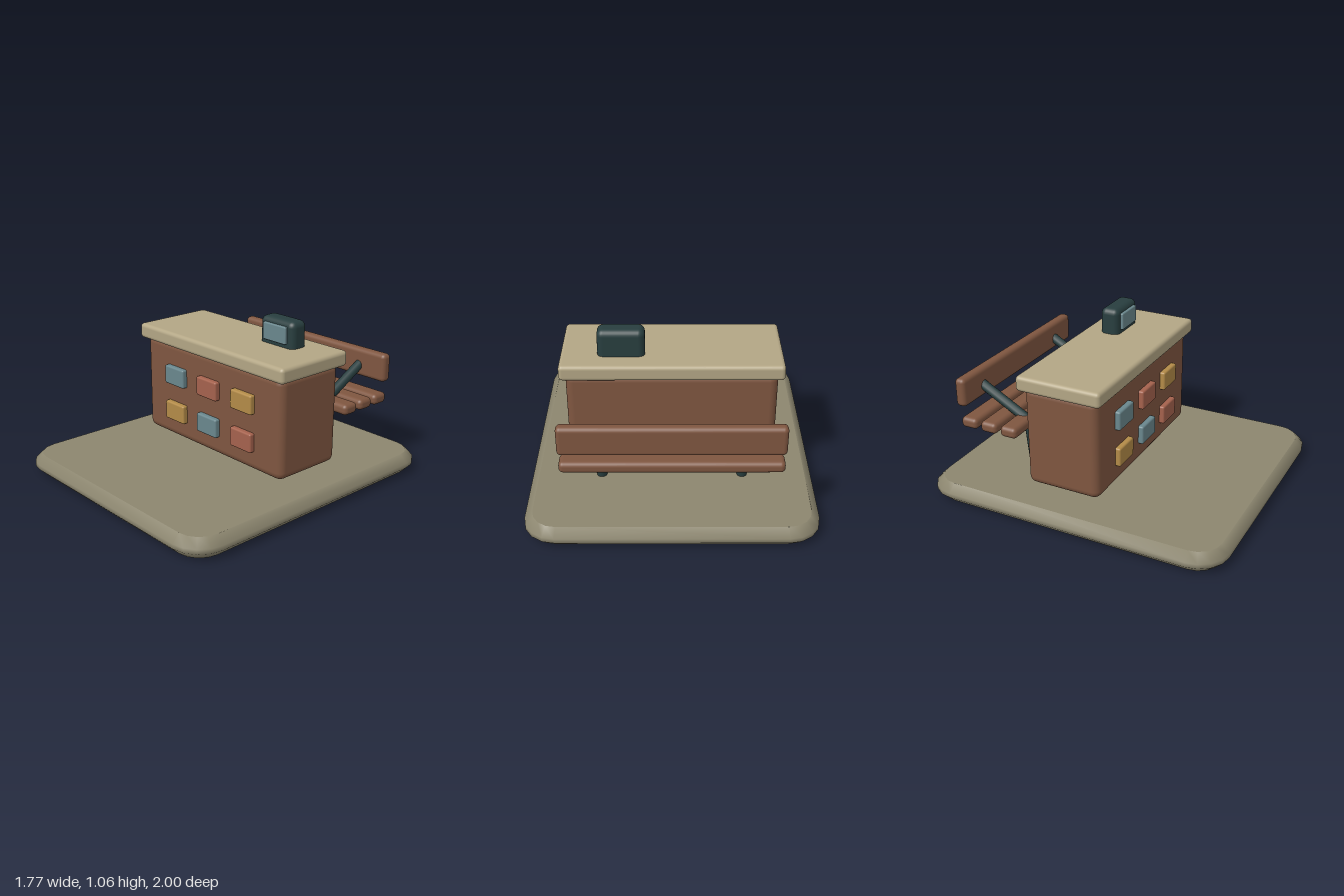
import * as THREE from 'three';
import { toCreasedNormals } from 'three/addons/utils/BufferGeometryUtils.js';
import { RoundedBoxGeometry } from 'three/addons/geometries/RoundedBoxGeometry.js';

const mat = (name, color) => {
  const m = new THREE.MeshStandardMaterial({ color });
  m.name = name;
  return m;
};

export function createModel() {
  const stone = mat('stone', 0x8c866f);
  const cream = mat('cream', 0xb3a685);
  const wood = mat('wood', 0x7f5640);
  const metal = mat('darkMetal', 0x283e3f);
  const blue = mat('blue', 0x6a878d);
  const red = mat('red', 0xa5624d);
  const yellow = mat('yellow', 0xb38b48);

  const model = new THREE.Group();
  model.name = 'counterAndBench';

  const add = (parent, name, geometry, material) => {
    const mesh = new THREE.Mesh(geometry, material);
    mesh.name = name;
    parent.add(mesh);
    return mesh;
  };
  // Rounded block given by its lower and upper corners
  const block = (parent, name, material, radius, [x0, y0, z0], [x1, y1, z1]) => {
    const g = new RoundedBoxGeometry(x1 - x0, y1 - y0, z1 - z0, 3, radius);
    g.translate((x0 + x1) / 2, (y0 + y1) / 2, (z0 + z1) / 2);
    return add(parent, name, g, material);
  };
  // Round bar between two points
  const bar = (parent, name, material, radius, from, to) => {
    const a = new THREE.Vector3(...from), b = new THREE.Vector3(...to);
    const mesh = add(parent, name, new THREE.CylinderGeometry(radius, radius, a.distanceTo(b), 12), material);
    mesh.position.copy(a).lerp(b, 0.5);
    mesh.quaternion.setFromUnitVectors(new THREE.Vector3(0, 1, 0), b.sub(a).normalize());
    return mesh;
  };

  // Base slab: rounded rectangle with chamfered rim, smooth sides and flat caps
  const w = 0.835, d = 0.95, r = 0.15;
  const outline = new THREE.Shape();
  outline.absarc(w - r, d - r, r, 0, Math.PI / 2);
  outline.absarc(-w + r, d - r, r, Math.PI / 2, Math.PI);
  outline.absarc(-w + r, -d + r, r, Math.PI, Math.PI * 1.5);
  outline.absarc(w - r, -d + r, r, Math.PI * 1.5, Math.PI * 2);
  outline.closePath();
  const slab = toCreasedNormals(new THREE.ExtrudeGeometry(outline, {
    depth: 0.03, bevelSize: 0.05, bevelThickness: 0.05, bevelSegments: 1, curveSegments: 2,
  }), 0.9);
  const caps = slab.groups[0];
  for (let i = caps.start; i < caps.start + caps.count; i++) {
    slab.attributes.normal.setXYZ(i, 0, 0, slab.attributes.position.getZ(i) > 0 ? 1 : -1);
  }
  slab.rotateX(-Math.PI / 2).translate(0, 0.05, 0);
  add(model, 'base', slab, stone);

  // Counter body and worktop
  const counter = new THREE.Group();
  counter.name = 'counter';
  model.add(counter);
  block(counter, 'counterBody', wood, 0.05, [-0.645, 0.15, -0.37], [0.645, 0.81, 0.13]);
  block(counter, 'worktop', cream, 0.025, [-0.68, 0.79, -0.405], [0.68, 0.89, 0.165]);

  // Two rows of coloured tiles on the front
  const rows = [[0.593, [blue, red, yellow]], [0.342, [yellow, blue, red]]];
  for (const [y, colours] of rows) {
    colours.forEach((colour, i) => {
      const x = (i - 1) * 0.322;
      block(counter, 'frontTile', colour, 0.012,
        [x - 0.094, y - 0.063, 0.115], [x + 0.094, y + 0.063, 0.165]);
    });
  }

  // Till with screen
  const till = new THREE.Group();
  till.name = 'till';
  model.add(till);
  block(till, 'tillCase', metal, 0.04, [0.163, 0.85, -0.28], [0.453, 1.06, -0.15]);
  block(till, 'tillScreen', blue, 0.008, [0.208, 0.915, -0.165], [0.405, 1.027, -0.132]);

  // Bench: seat slats, backrest and metal supports
  const bench = new THREE.Group();
  bench.name = 'bench';
  model.add(bench);
  for (const z of [-0.498, -0.643, -0.787]) {
    block(bench, 'seatSlat', wood, 0.028, [-0.655, 0.435, z - 0.059], [0.655, 0.507, z + 0.059]);
  }
  block(bench, 'backrest', wood, 0.028, [-0.655, 0.577, -0.874], [0.655, 0.766, -0.8]);
  for (const x of [-0.44, 0.44]) {
    bar(bench, 'benchLeg', metal, 0.032, [x, 0.12, -0.435], [x, 0.47, -0.473]);
    bar(bench, 'backSupport', metal, 0.032, [x, 0.47, -0.473], [x, 0.665, -0.83]);
  }
  return model;
}
